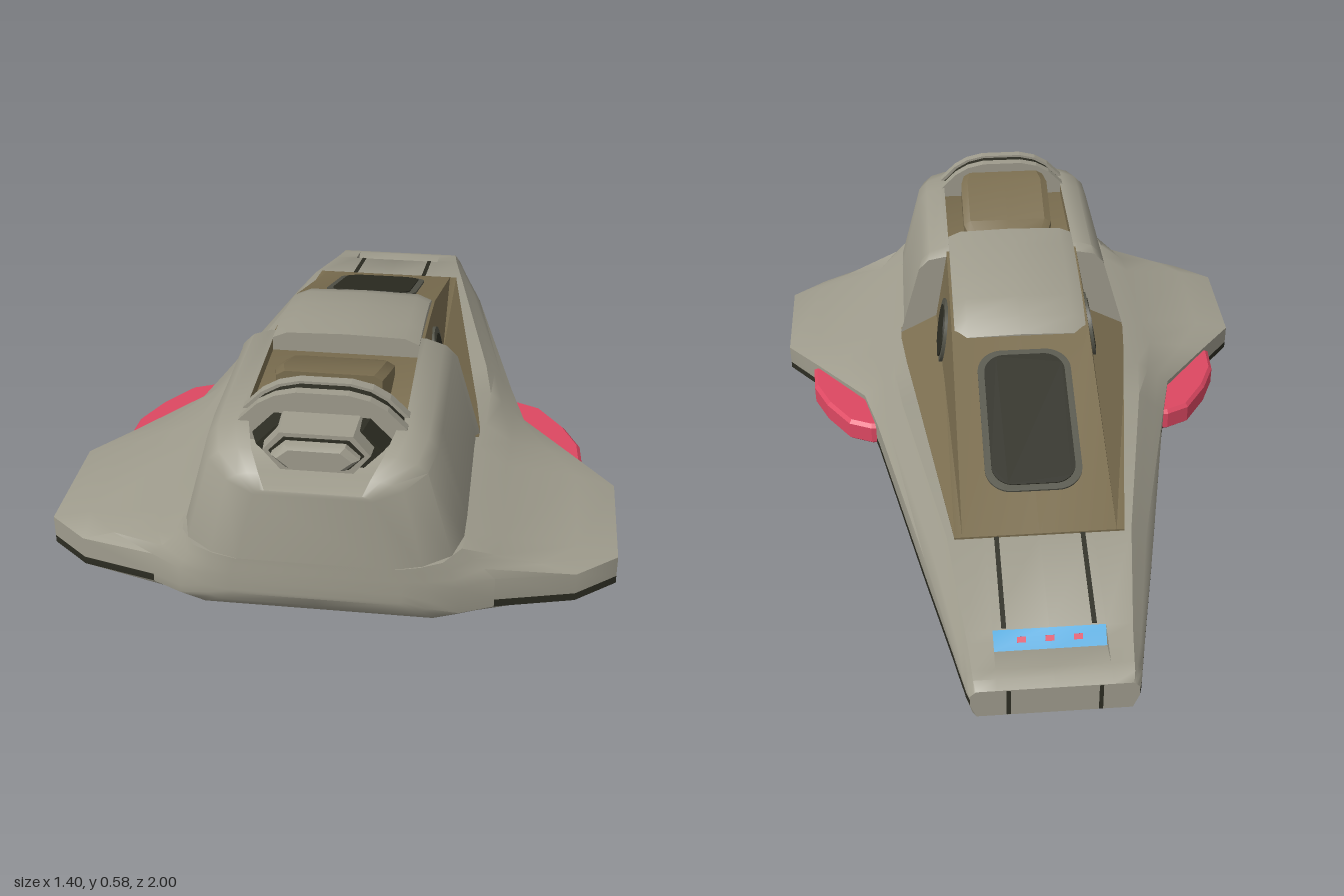
import * as THREE from 'three';
import { toCreasedNormals } from 'three/addons/utils/BufferGeometryUtils.js';

const material = (name, color) => {
  const m = new THREE.MeshStandardMaterial({ color });
  m.name = name;
  return m;
};

// Loft mirrored half profiles (bottom centre to top centre) along z, with end caps.
function loft(name, sections, mats, pick = () => 0, crease = 0.6) {
  const buckets = mats.map(() => []);
  const n = sections[0].pts.length;
  const rings = sections.map(({ z, pts }) => [
    ...pts.map(([x, y]) => [x, y, z]),
    ...pts.slice(1, -1).reverse().map(([x, y]) => [-x, y, z]),
  ]);
  const quad = (b, p, q, r, s) => b.push(...p, ...q, ...r, ...p, ...r, ...s);
  const count = rings[0].length;
  for (let k = 0; k + 1 < rings.length; k++) {
    for (let i = 0; i < count; i++) {
      const j = (i + 1) % count;
      const half = i < n - 1 ? i : count - 1 - i;
      quad(buckets[pick(half, k)], rings[k][i], rings[k][j], rings[k + 1][j], rings[k + 1][i]);
    }
  }
  const first = rings[0], last = rings[rings.length - 1];
  for (let i = 0; i < n - 1; i++) {
    const a = (count - i) % count, b = count - i - 1;
    quad(buckets[0], last[i], last[i + 1], last[b], last[a]);
    quad(buckets[0], first[a], first[b], first[i + 1], first[i]);
  }
  const geo = new THREE.BufferGeometry();
  geo.setAttribute('position', new THREE.Float32BufferAttribute(buckets.flat(), 3));
  let start = 0;
  buckets.forEach((b, m) => {
    geo.addGroup(start, b.length / 3, m);
    start += b.length / 3;
  });
  const mesh = new THREE.Mesh(toCreasedNormals(geo, crease), mats);
  mesh.name = name;
  return mesh;
}

const mix = (a, b, t) => [a[0] + (b[0] - a[0]) * t, a[1] + (b[1] - a[1]) * t];

// Hull section: bottom, side (with stripe), wing top and deck.
function hullSection(z, bw, by, sw, sl, sh, dx, dy, notch = 0, wing = null) {
  const side = [sw, sh], deck = [dx, dy];
  const low = wing ? wing[0] : mix([bw, by], [sw, sl], 0.5);
  const m1 = wing ? wing[1] : mix(side, deck, 0.33);
  const m2 = wing ? wing[2] : mix(side, deck, 0.67);
  return { z, pts: [[0, by], [bw, by], low, [sw, sl], [sw, sl + 0.02], side, m1, m2, deck,
    [0.14, dy], [0.14, dy - notch], [0, dy - notch]] };
}

// Rounded rectangle shape
function roundedRect(w, h, r) {
  const s = new THREE.Shape();
  s.moveTo(-w + r, -h);
  s.lineTo(w - r, -h); s.absarc(w - r, -h + r, r, -Math.PI / 2, 0);
  s.lineTo(w, h - r); s.absarc(w - r, h - r, r, 0, Math.PI / 2);
  s.lineTo(-w + r, h); s.absarc(-w + r, h - r, r, Math.PI / 2, Math.PI);
  s.lineTo(-w, -h + r); s.absarc(-w + r, -h + r, r, Math.PI, Math.PI * 1.5);
  return s;
}

export function createModel() {
  const grey = material('hull grey', 0x9f9c8d);
  const brown = material('canopy brown', 0x7b6e50);
  const dark = material('dark trim', 0x2d2d23);
  const rimGrey = material('window rim', 0x55554a);
  const red = material('signal red', 0xdd4862);
  const blue = material('panel blue', 0x52abdf);
  const model = new THREE.Group();
  model.name = 'shuttle';
  const add = (name, geo, mat, x = 0, y = 0, z = 0) => {
    const m = new THREE.Mesh(geo, mat);
    m.name = name;
    m.position.set(x, y, z);
    model.add(m);
    return m;
  };

  // Hull with wings, dark belly, side stripe and nose notch
  const wingMids = [[0.58, 0.03], [0.6, 0.15], [0.42, 0.165]];
  const hull = [
    hullSection(-1, 0.19, 0.015, 0.205, 0.055, 0.085, 0.19, 0.1),
    hullSection(-0.975, 0.198, 0, 0.213, 0.055, 0.088, 0.195, 0.113),
    hullSection(-0.95, 0.2, 0, 0.218, 0.055, 0.09, 0.197, 0.119),
    hullSection(-0.88, 0.208, 0, 0.233, 0.055, 0.098, 0.203, 0.136, 0.03),
    hullSection(-0.845, 0.212, 0, 0.24, 0.055, 0.102, 0.207, 0.144),
    hullSection(-0.57, 0.25, 0, 0.3, 0.055, 0.14, 0.24, 0.21),
    hullSection(0, 0.34, 0, 0.42, 0.055, 0.14, 0.345, 0.212),
    hullSection(0.16, 0.36, 0, 0.46, 0.053, 0.135, 0.365, 0.212),
    hullSection(0.33, 0.37, 0, 0.6, 0.05, 0.13, 0.36, 0.212, 0,
      [[0.5, 0.025], [0.53, 0.147], [0.43, 0.165]]),
    hullSection(0.45, 0.37, 0, 0.7, 0.05, 0.125, 0.34, 0.22, 0, wingMids),
    hullSection(0.76, 0.37, 0, 0.7, 0.05, 0.125, 0.34, 0.22, 0, wingMids),
    hullSection(0.84, 0.35, 0.012, 0.6, 0.05, 0.125, 0.34, 0.22, 0,
      [[0.5, 0.035], [0.52, 0.15], [0.41, 0.165]]),
    hullSection(0.9, 0.32, 0.028, 0.41, 0.06, 0.14, 0.33, 0.22),
    hullSection(0.96, 0.27, 0.06, 0.33, 0.08, 0.15, 0.29, 0.22),
    hullSection(0.985, 0.23, 0.09, 0.26, 0.105, 0.16, 0.24, 0.22),
    hullSection(1, 0.19, 0.12, 0.2, 0.13, 0.17, 0.185, 0.22),
  ];
  model.add(loft('hull', hull, [grey, dark, blue], (i, k) => {
    if (i === 10 && k === 3) return 2;
    return (i === 0 && k < 13) || (i === 3 && k < 12) ? 1 : 0;
  }, 0.75));

  // Rear body with a brown trough on top
  const body = [
    [0.375, 0.35, 0.28, 0.44, 0.25, 0.47, 0.2, 0.48, 0.187, 0.46],
    [0.4, 0.34, 0.27, 0.46, 0.245, 0.485, 0.2, 0.5, 0.187, 0.47],
    [0.77, 0.34, 0.27, 0.46, 0.245, 0.485, 0.2, 0.5, 0.187, 0.47],
    [0.85, 0.338, 0.268, 0.455, 0.243, 0.482, 0.2, 0.498, 0.17, 0.43],
    [0.93, 0.315, 0.25, 0.44, 0.225, 0.462, 0.18, 0.475, 0.15, 0.42],
    [0.98, 0.25, 0.2, 0.42, 0.175, 0.435, 0.15, 0.442, 0.125, 0.415],
    [1, 0.185, 0.135, 0.4, 0.13, 0.407, 0.12, 0.412, 0.11, 0.41],
  ].map(([z, f, sx, sy, mx, my, ex, ey, tx, ty]) => ({ z,
    pts: [[0, 0.2], [f, 0.2], [sx, sy], [mx, my], [ex, ey], [tx, ey], [tx, ty], [0, ty]] }));
  model.add(loft('rearBody', body, [grey, brown], (i, k) => (i >= 5 && k < 2 ? 1 : 0), 0.75));

  // Canopy: wedge with flared foot
  const canopy = [[-0.58, 0.2, 0.22, 0.213], [0.04, 0.195, 0.305, 0.43],
    [0.22, 0.195, 0.33, 0.465], [0.4, 0.195, 0.35, 0.492]].map(([z, rx, fx, y]) => ({ z,
    pts: [[0, 0.19], [fx, 0.19], [fx, 0.2135], [rx + 0.03 * (fx - 0.22) / 0.1, 0.2135 + (y - 0.2135) * 0.22],
      [rx, y], [0, y]] }));
  model.add(loft('canopy', canopy, [brown], undefined, 0.45));

  // Raised roof plate
  const roof = [[0.02, 0.428], [0.06, 0.462], [0.13, 0.487], [0.24, 0.507], [0.36, 0.522], [0.45, 0.525]]
    .map(([z, y]) => ({ z, pts: [[0, y - 0.07], [0.187, y - 0.07], [0.187, y - 0.02], [0.15, y - 0.004], [0, y]] }));
  model.add(loft('roofPlate', roof, [grey], undefined, 0.8));

  // Front window on the sloping canopy
  const slope = Math.atan2(0.217, 0.62);
  [['frontWindowRim', 0.13, 0.228, 0.07, rimGrey, 0.006], ['frontWindow', 0.112, 0.21, 0.058, dark, 0.0095]]
    .forEach(([name, w, h, r, mat, depth]) => {
      const geo = new THREE.ExtrudeGeometry(roundedRect(w, h, r), { depth, bevelEnabled: false, curveSegments: 10 });
      add(name, geo, mat, 0, 0.33, -0.245).rotation.x = -(Math.PI / 2 + slope);
    });

  // Engine cover in the trough
  const cover = [[0.5, 0.485, 0.12], [0.54, 0.505, 0.135], [0.69, 0.565, 0.135], [0.735, 0.57, 0.125]]
    .map(([z, y, w]) => ({ z, pts: [[0, 0.46], [w, 0.46], [w, y - 0.012], [w - 0.02, y], [0, y]] }));
  model.add(loft('engineCover', cover, [brown], undefined, 0.5));

  // Arched bulkhead: two grey rings with a dark one between
  [[0.77, 0.026, 1, grey], [0.796, 0.03, 0.95, dark], [0.826, 0.024, 1, grey]].forEach(([z, depth, k, mat]) => {
    const half = [[0.205, 0], [0.195, 0.05], [0.15, 0.095], [0.11, 0.118], [0.06, 0.13]];
    const pts = [...half, ...half.map(([x, y]) => [-x, y]).reverse()];
    const shape = new THREE.Shape(pts.map(([x, y]) => new THREE.Vector2(x * k, 0.45 + y * k)));
    add('archRing', new THREE.ExtrudeGeometry(shape, { depth, bevelEnabled: false }), mat, 0, 0, z);
  });

  // Hexagonal exhaust: dark surround and grey stepped nozzle
  const hex = (z, w, lo, hi) => ({ z, pts: [[0, lo], [w * 0.68, lo], [w, (lo + hi) / 2], [w * 0.68, hi], [0, hi]] });
  model.add(loft('exhaustSurround', [hex(0.845, 0.165, 0.415, 0.525), hex(0.9, 0.145, 0.42, 0.52)], [dark]));
  model.add(loft('exhaustFrame', [hex(0.85, 0.13, 0.43, 0.53), hex(0.94, 0.122, 0.432, 0.528)], [grey]));
  model.add(loft('exhaustGap', [hex(0.93, 0.108, 0.444, 0.518), hex(0.944, 0.108, 0.444, 0.518)], [dark]));
  model.add(loft('exhaustNozzle', [hex(0.9, 0.1, 0.452, 0.512), hex(0.96, 0.1, 0.452, 0.512),
    hex(0.975, 0.085, 0.46, 0.505)], [grey]));

  // Red dots on the blue nose panel
  [-0.07, 0, 0.07].forEach((x) => {
    add('panelLight', new THREE.BoxGeometry(0.022, 0.006, 0.014), red, x, 0.125, -0.8625).rotation.x = -0.83;
  });

  for (const s of [1, -1]) {
    // Round side windows
    [['sideWindowRim', 0.095, rimGrey, 0.219], ['sideWindow', 0.077, dark, 0.222]].forEach(([name, r, mat, x]) => {
      add(name, new THREE.CylinderGeometry(r, r, 0.009, 32), mat, s * x, 0.33, 0.205)
        .rotation.z = -s * (Math.PI / 2 - 0.16);
    });

    // Red pods at the wing roots
    const outline = [[0.38, 0.04], [0.44, 0.04], [0.5, 0.067], [0.565, 0.16], [0.605, 0.25], [0.61, 0.335], [0.4, 0.335]];
    const pod = new THREE.ExtrudeGeometry(
      new THREE.Shape(outline.map(([x, z]) => new THREE.Vector2(s * x, -z))),
      { depth: 0.05, bevelThickness: 0.01, bevelSize: 0.01, bevelSegments: 1 });
    add('wingPod', pod, red, 0, 0.06, 0).rotation.x = -Math.PI / 2;

    // Panel seams on the nose deck and nose face
    const tilt = Math.atan2(0.066, 0.275);
    add('deckSeam', new THREE.BoxGeometry(0.012, 0.004, 0.275), dark, s * 0.112, 0.1775, -0.7075).rotation.x = -tilt;
    add('noseSeam', new THREE.BoxGeometry(0.01, 0.08, 0.004), dark, s * 0.112, 0.058, -1);
  }
  return model;
}
